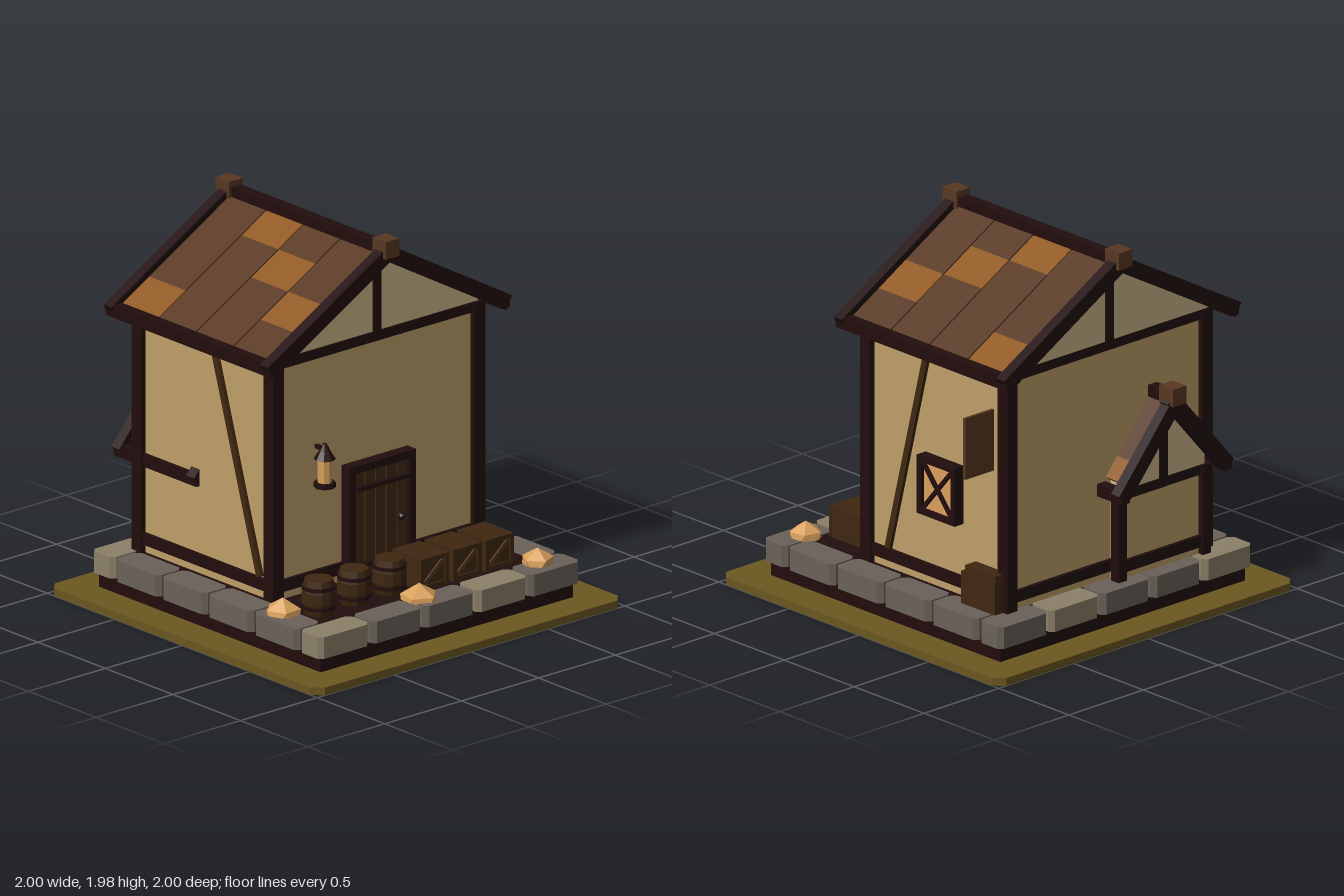
import * as THREE from 'three';

const mat = (name, color) => Object.assign(new THREE.MeshStandardMaterial({ color }), { name });
const M = {
  grass: mat('grass', 0x6b5820), timber: mat('dark timber', 0x220d0e),
  plaster: mat('plaster', 0xbf9f69), gable: mat('pale plaster', 0xcdb98a),
  brown: mat('brown wood', 0x583822), orange: mat('orange shingle', 0x8f5820),
  stone: mat('grey stone', 0x6a6259), light: mat('light stone', 0x8c8168),
  wood: mat('dark brown wood', 0x3f2710), gold: mat('amber', 0xd9a05c),
};

export function createModel() {
  const root = new THREE.Group();
  root.name = 'cottage';
  const add = (name, geo, m, parent = root) => {
    const mesh = new THREE.Mesh(geo, m);
    mesh.name = name;
    parent.add(mesh);
    return mesh;
  };
  const group = (name, x = 0, y = 0, z = 0) => {
    const g = new THREE.Group();
    g.name = name;
    g.position.set(x, y, z);
    root.add(g);
    return g;
  };
  // Box given by its limits
  const box = (name, m, x0, x1, y0, y1, z0, z1, parent = root) => {
    const b = add(name, new THREE.BoxGeometry(x1 - x0, y1 - y0, z1 - z0), m, parent);
    b.position.set((x0 + x1) / 2, (y0 + y1) / 2, (z0 + z1) / 2);
    return b;
  };
  // Straight bar between two points
  const bar = (name, m, a, b, wx, wz, parent = root) => {
    const p = new THREE.Vector3(...a), q = new THREE.Vector3(...b);
    const d = q.clone().sub(p);
    const mesh = add(name, new THREE.BoxGeometry(wx, d.length(), wz), m, parent);
    mesh.position.copy(p).add(q).multiplyScalar(0.5);
    mesh.quaternion.setFromUnitVectors(new THREE.Vector3(0, 1, 0), d.normalize());
    return mesh;
  };
  // Slab with its four upright corners cut off
  const slab = (name, m, x, z, w, d, y0, y1, c) => {
    const a = w / 2, b = d / 2;
    const pts = [[-a + c, -b], [a - c, -b], [a, -b + c], [a, b - c], [a - c, b], [-a + c, b], [-a, b - c], [-a, -b + c]];
    const shape = new THREE.Shape(pts.map(p => new THREE.Vector2(...p)));
    const geo = new THREE.ExtrudeGeometry(shape, { depth: y1 - y0, bevelEnabled: false }).rotateX(-Math.PI / 2);
    add(name, geo, m).position.set(x, y0, z);
  };
  const flat = geo => {
    const g = geo.index ? geo.toNonIndexed() : geo;
    g.computeVertexNormals();
    return g;
  };

  // Ground, footing and floor
  slab('lawn', M.grass, 0, 0, 2, 2, 0, 0.04, 0.05);
  box('footing', M.timber, -0.82, 0.82, 0.04, 0.12, -0.82, 0.82);
  box('floor', M.timber, -0.7, 0.7, 0.19, 0.225, -0.7, 0.7);

  // Ring of stones
  for (const s of [-1, 1]) {
    for (let i = 0; i < 5; i++)
      slab('stone', i % 3 ? M.stone : M.light, (i - 2) * 0.342, s * 0.77, 0.328, 0.16, 0.118, 0.23, 0.025);
    for (let i = 0; i < 4; i++)
      slab('stone', M.stone, s * 0.77, (i - 1.5) * 0.342, 0.16, 0.328, 0.118, 0.23, 0.025);
  }

  // Timber-framed walls
  const frame = (name, cx, w, y1, z0, z1, p) => {
    const g = group(name, cx);
    box('walls', M.plaster, -w + 0.03, w - 0.03, 0.2, y1, z0 + 0.03, z1 - 0.03, g);
    for (const x of [-w, w - p]) for (const z of [z0, z1 - p])
      box('cornerPost', M.timber, x, x + p, 0.22, y1 + 0.02, z, z + p, g);
    for (const [a, b] of [[0.27, 0.33], [y1 - 0.03, y1 + 0.02]]) {
      for (const z of [z0 + 0.01, z1 - 0.06]) box('crossBeam', M.timber, -w + p, w - p, a, b, z, z + 0.05, g);
      for (const x of [-w + 0.01, w - 0.06]) box('sideBeam', M.timber, x, x + 0.05, a, b, z0 + p, z1 - p, g);
    }
  };

  // Pitched roof: ridge height, half width, slope and the z limits
  const roof = (name, cx, w, wallW, ridge, k, wallTop, z0, z1, rows) => {
    const g = group(name, cx);
    const ang = Math.atan(k), cos = Math.cos(ang);
    const sloped = (part, m, s, x0, x1, drop, t, za, zb) => {
      const mesh = add(part, new THREE.BoxGeometry((x1 - x0) / cos, t, zb - za), m, g);
      const xm = (x0 + x1) / 2, down = drop + t / 2;
      mesh.position.set(s * (xm - down * Math.sin(ang)), ridge - k * xm - down * cos, (za + zb) / 2);
      mesh.rotation.z = -s * ang;
    };
    // Gable infill
    const apex = ridge - 0.062 / cos, e = wallW - 0.03, base = wallTop - 0.01;
    const shape = new THREE.Shape([[-e, base], [e, base], [e, Math.max(base + 0.005, apex - k * e)], [0, apex],
      [-e, Math.max(base + 0.005, apex - k * e)]].map(p => new THREE.Vector2(...p)));
    const geo = new THREE.ExtrudeGeometry(shape, { depth: z1 - z0 - 0.2, bevelEnabled: false });
    add('gableInfill', geo, M.gable, g).position.z = z0 + 0.1;
    for (const z of [z0 + 0.09, z1 - 0.13])
      box('kingPost', M.timber, -0.025, 0.025, wallTop, apex - 0.03, z, z + 0.04, g);

    const step = (z1 - z0 - 0.12) / rows, seg = (w - 0.06) / 4;
    for (const s of [-1, 1]) {
      for (const z of [z0, z1 - 0.06]) sloped('bargeBoard', M.timber, s, 0, w + 0.015, 0, 0.078, z, z + 0.06);
      // Shingles, one orange patch in each row
      for (let r = 0; r < rows; r++) for (let c = 0; c < 4; c++)
        sloped('shingle', c === (r + 3) % 4 ? M.orange : M.brown, s, 0.025 + c * seg, 0.025 + (c + 1) * seg,
          0.03, 0.025, z0 + 0.06 + r * step + 0.004, z0 + 0.06 + (r + 1) * step - 0.004);
      const ey = ridge - k * w - 0.03;
      box('eaveBeam', M.timber, s > 0 ? w - 0.055 : -w, s > 0 ? w : -w + 0.055, ey + 0.015 - 0.05, ey + 0.03, z0, z1, g);
    }
    box('ridgeBeam', M.timber, -0.03, 0.03, ridge - 0.06, ridge, z0, z1, g);
    for (const z of [z0 - 0.02, z1 - 0.08])
      box('ridgeCap', M.brown, -0.045, 0.045, ridge - 0.06, ridge + 0.03, z, z + 0.1, g);
  };

  frame('house', 0, 0.69, 1.46, -0.73, 0.32, 0.07);
  roof('mainRoof', 0, 0.78, 0.69, 1.95, 0.565, 1.46, -0.82, 0.4, 4);
  frame('backPorch', -0.31, 0.31, 0.68, -0.79, -0.34, 0.055);
  roof('porchRoof', -0.31, 0.37, 0.31, 1.17, 1.16, 0.68, -0.875, -0.26, 2);

  // Slanted side braces
  bar('brace', M.wood, [0.665, 0.335, 0.14], [0.665, 1.4, -0.13], 0.03, 0.035);
  bar('brace', M.wood, [-0.665, 0.335, 0.2], [-0.665, 1.4, -0.13], 0.03, 0.035);

  // Door
  const door = group('door');
  box('doorBack', M.timber, -0.2, 0.19, 0.23, 0.81, 0.28, 0.322, door);
  for (const x of [-0.22, 0.17]) box('doorJamb', M.timber, x, x + 0.04, 0.23, 0.83, 0.28, 0.355, door);
  box('doorLintel', M.timber, -0.22, 0.21, 0.79, 0.83, 0.28, 0.355, door);
  for (let i = 0; i < 5; i++)
    box('doorPlank', M.wood, -0.178 + i * 0.07, -0.116 + i * 0.07, 0.23, 0.79, 0.31, 0.34, door);
  for (const y of [0.3, 0.7]) box('doorStrap', M.timber, -0.18, 0.17, y, y + 0.02, 0.33, 0.385, door).scale.z = 0.5;
  add('doorKnob', flat(new THREE.IcosahedronGeometry(0.022, 0)), M.timber, door).position.set(0.1, 0.51, 0.37);

  // Wall lantern
  const lantern = group('lantern', -0.385, 0, 0.355);
  const turn = (name, m, r0, r1, y0, y1, n) =>
    add(name, flat(new THREE.CylinderGeometry(r1, r0, y1 - y0, n)), m, lantern).position.y = (y0 + y1) / 2;
  turn('lanternBase', M.timber, 0.055, 0.055, 0.775, 0.8, 8);
  turn('lanternGlass', M.gold, 0.036, 0.036, 0.8, 0.92, 8);
  turn('lanternCap', M.timber, 0.055, 0.03, 0.92, 0.96, 8);
  turn('lanternTip', M.timber, 0.03, 0.01, 0.96, 1, 8);
  box('lanternArm', M.timber, -0.01, 0.01, 0.96, 0.98, -0.07, 0, lantern);

  // Side window with crossed bars
  const win = group('window');
  for (const z of [-0.385, -0.145]) box('windowSide', M.timber, 0.65, 0.72, 0.6, 0.905, z, z + 0.03, win);
  for (const y of [0.6, 0.875]) box('windowRail', M.timber, 0.65, 0.72, y, y + 0.03, -0.385, -0.115, win);
  box('windowGlass', M.gold, 0.65, 0.7, 0.62, 0.88, -0.36, -0.13, win);
  for (const s of [-1, 1])
    bar('windowBar', M.timber, [0.7, 0.635, -0.25 - s * 0.1], [0.7, 0.87, -0.25 + s * 0.1], 0.03, 0.02, win);

  // Hanging board
  box('signBoard', M.brown, 0.66, 0.85, 0.94, 1.26, -0.602, -0.586);
  bar('signStripe', M.orange, [0.7, 1.06, -0.575], [0.79, 1.18, -0.575], 0.025, 0.02);

  // Barrels
  const profile = [[0, 0], [0.07, 0], [0.085, 0.06], [0.085, 0.12], [0.072, 0.18], [0, 0.18]];
  for (const x of [-0.6, -0.37, -0.14]) {
    const barrel = group('barrel', x, 0.225, 0.555);
    add('barrelBody', flat(new THREE.LatheGeometry(profile.map(p => new THREE.Vector2(...p)), 12)), M.wood, barrel);
    for (const y of [0.04, 0.14])
      add('barrelHoop', flat(new THREE.CylinderGeometry(0.086, 0.086, 0.018, 12, 1)), M.timber, barrel).position.y = y;
  }

  // Crates
  for (const x of [0.067, 0.28, 0.49]) {
    const crate = group('crate', x, 0.225, 0.55);
    box('crateBody', M.wood, -0.09, 0.09, 0, 0.163, -0.11, 0.095, crate);
    for (const s of [-1, 1]) box('crateEdge', M.wood, s * 0.08 - 0.012, s * 0.08 + 0.012, 0, 0.163, 0.09, 0.107, crate);
    for (const y of [0, 0.14]) box('crateRail', M.wood, -0.07, 0.07, y, y + 0.023, 0.09, 0.105, crate);
    bar('crateBrace', M.brown, [-0.065, 0.03, 0.1], [0.065, 0.14, 0.1], 0.02, 0.008, crate);
  }
  box('sideCrate', M.wood, 0.52, 0.735, 0.225, 0.43, -0.695, -0.475);
  box('sideCrateBase', M.wood, 0.52, 0.745, 0.225, 0.4, -0.7, -0.46);

  // Amber rocks, one corner up
  for (const [x, z, r, turnY] of [[-0.74, 0.45, 0.1, 0.4], [-0.1, 0.73, 0.105, 1.1], [0.67, 0.73, 0.09, 2]]) {
    const geo = flat(new THREE.IcosahedronGeometry(r, 0).rotateZ(-Math.atan(0.618)).rotateY(turnY));
    add('amberRock', geo, M.gold).position.set(x, 0.31 - r, z);
  }
  return root;
}
